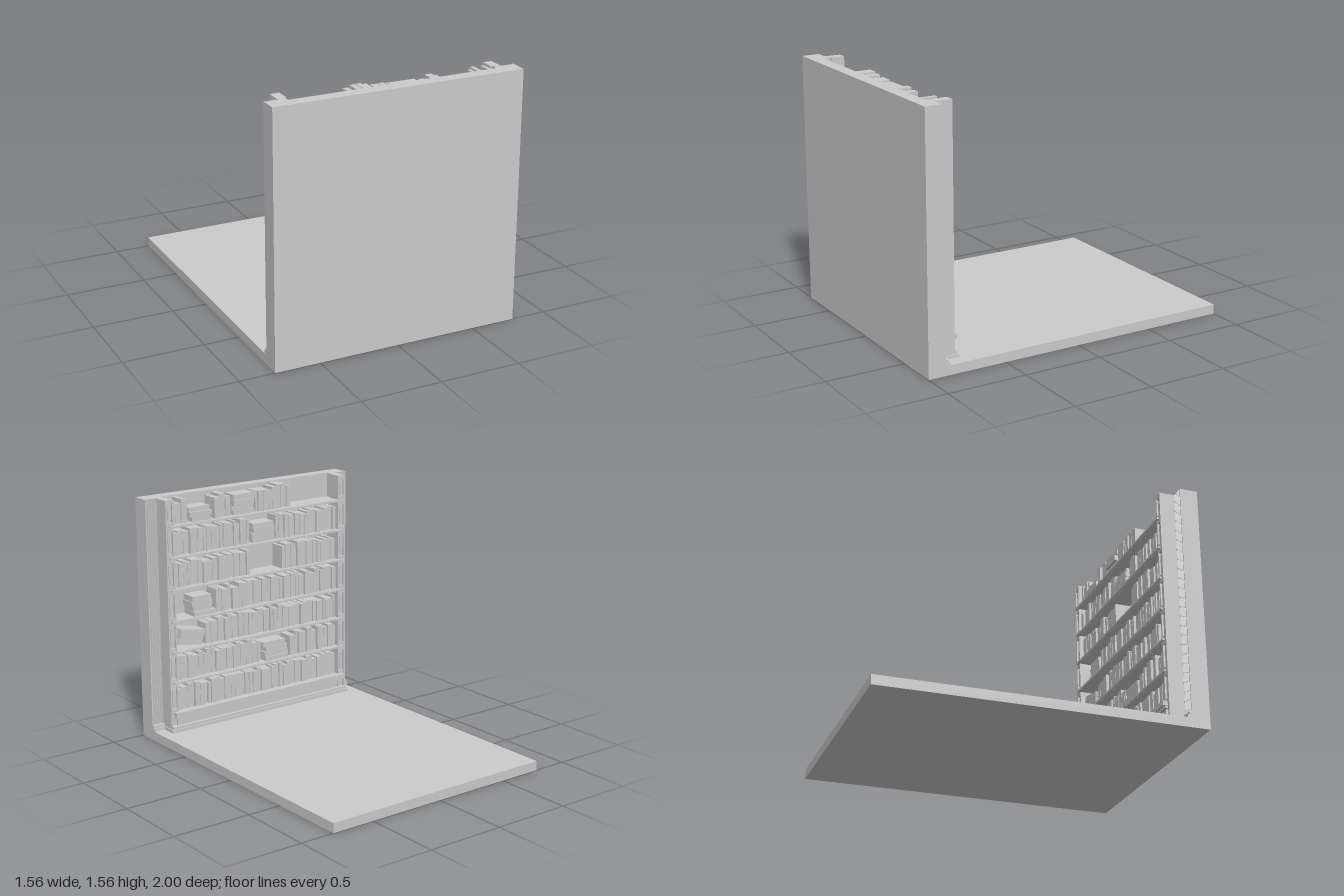
import * as THREE from 'three';

const material = new THREE.MeshStandardMaterial({ color: 0xcccccc, flatShading: true });

// Box given by its lower and upper limits on each axis
function box(parent, name, x0, x1, y0, y1, z0, z1) {
  const mesh = new THREE.Mesh(new THREE.BoxGeometry(x1 - x0, y1 - y0, z1 - z0), material);
  mesh.position.set((x0 + x1) / 2, (y0 + y1) / 2, (z0 + z1) / 2);
  mesh.name = name;
  parent.add(mesh);
  return mesh;
}

// Vertical extrusion of a plan outline given as [x, z] points
function planExtrude(parent, name, points, y0, y1) {
  const shape = new THREE.Shape(points.map(([x, z]) => new THREE.Vector2(x, -z)));
  const geometry = new THREE.ExtrudeGeometry(shape, { depth: y1 - y0, bevelEnabled: false });
  geometry.rotateX(-Math.PI / 2);
  const mesh = new THREE.Mesh(geometry, material);
  mesh.position.y = y0;
  mesh.name = name;
  parent.add(mesh);
}

// Mirror a half outline (x > 0, running outward to inward) into a full one
const mirrored = (half) => [...half, ...half.slice().reverse().map(([x, z]) => [-x, z])];

let seed = 7;
function rand(min, max) {
  seed = (seed * 16807) % 2147483647;
  return min + (max - min) * (seed / 2147483647);
}

// Upright books filling a run of shelf
function uprightBooks(parent, y, x0, x1, maxHeight) {
  let x = x0;
  while (x < x1 - 0.012) {
    let w = rand(0.02, 0.052);
    if (x1 - x - w < 0.018) w = x1 - x;
    const front = rand(0.798, 0.818);
    const h = rand(maxHeight - 0.03, maxHeight);
    box(parent, 'book', x + 0.001, x + w - 0.002, y, y + h, front, 0.912);
    x += w;
  }
}

// Pile of books lying flat
function bookStack(parent, y, x0, x1, count, tilt = 0) {
  const stack = new THREE.Group();
  stack.name = 'bookStack';
  let top = 0;
  const half = (x1 - x0) / 2;
  for (let i = 0; i < count; i++) {
    const h = rand(0.026, 0.036);
    const shift = rand(-0.01, 0.01);
    const w = half - rand(0.008, 0.022);
    box(stack, 'lyingBook', shift - w, shift + w, top, top + h, rand(0.792, 0.812), 0.91);
    top += h;
  }
  stack.position.set((x0 + x1) / 2, y + Math.abs(Math.sin(tilt)) * half, 0);
  stack.rotation.z = tilt;
  parent.add(stack);
}

export function createModel() {
  const model = new THREE.Group();
  model.name = 'bookcaseBookend';

  const W = 0.78, H = 1.56, FLOOR = 0.06;
  box(model, 'baseSlab', -W, W, 0, FLOOR, -1, 1);

  // Upright wall with fluted edges and a recess for the shelves
  const half = [[W, 1], [W, 0.885]];
  const flutes = 6;
  for (let i = 0; i < flutes; i++) {
    const x = 0.775 - i * 0.013;
    half.push([x, 0.885], [x - 0.004, 0.896], [x - 0.009, 0.896], [x - 0.0125, 0.885]);
  }
  half.push([0.69, 0.885], [0.69, 0.87], [0.65, 0.87], [0.65, 0.92]);
  planExtrude(model, 'wall', mirrored(half), FLOOR, H);

  // Shelves with a projecting lip
  const shelves = [0.19, 0.39, 0.59, 0.79, 0.995, 1.2, 1.4];
  shelves.forEach((y) => {
    box(model, 'shelf', -0.652, 0.652, y - 0.016, y, 0.785, 0.925);
    box(model, 'shelfLip', -0.675, 0.675, y - 0.014, y - 0.002, 0.773, 0.788);
  });

  // Side posts with framed panels between the shelf lines
  [-1, 1].forEach((side) => {
    const post = new THREE.Group();
    post.name = side > 0 ? 'leftPost' : 'rightPost';
    const part = (name, a, b, y0, y1, z0, z1) =>
      box(post, name, Math.min(side * a, side * b), Math.max(side * a, side * b), y0, y1, z0, z1);
    part('postCore', 0.65, 0.688, FLOOR, H, 0.8, 0.872);
    part('innerStile', 0.64, 0.65, FLOOR, H, 0.786, 0.872);
    part('outerStile', 0.688, 0.698, FLOOR, H, 0.786, 0.884);
    [...shelves, H + 0.005].forEach((y, i) => {
      part('postRail', 0.65, 0.688, y - 0.035, y + (i < 7 ? 0.02 : -0.005), 0.787, 0.8);
      if (i > 0) {
        const low = shelves[i - 1] + 0.035;
        part('postPanel', 0.658, 0.68, low, y - 0.05, 0.793, 0.8);
      }
    });
    model.add(post);
  });

  // Kick panel, its cap and the stepped plinth that returns along the sides
  box(model, 'kickPanel', -0.65, 0.65, FLOOR, 0.18, 0.79, 0.925);
  box(model, 'kickCap', -0.675, 0.675, 0.162, 0.19, 0.758, 0.79);
  box(model, 'kickCapFillet', -0.67, 0.67, 0.148, 0.162, 0.772, 0.79);
  const plinth = (grow) => mirrored([
    [W, 0.9], [W, 0.875 - grow], [0.69 + grow, 0.875 - grow],
    [0.69 + grow, 0.775 - grow], [0, 0.775 - grow],
  ]).filter((p, i) => i !== 5);
  planExtrude(model, 'plinthLower', plinth(0.014), FLOOR, 0.08);
  planExtrude(model, 'plinthUpper', plinth(0.006), 0.08, 0.096);

  // Books: upright runs [x0, x1] and stacks [x0, x1, count, tilt] for each shelf
  const rows = [
    { runs: [[-0.635, 0.635]], stacks: [] },
    { runs: [[-0.635, -0.25], [-0.02, 0.635]], stacks: [[-0.24, -0.03, 4]] },
    { runs: [[-0.635, 0.41]], stacks: [[0.42, 0.635, 3, 0.16]] },
    { runs: [[-0.635, 0.33]], stacks: [[0.34, 0.52, 4]] },
    { runs: [[-0.635, -0.19], [0.06, 0.635]], stacks: [] },
    { runs: [[-0.635, -0.15], [0.06, 0.635]], stacks: [[-0.14, 0.05, 4]] },
    { runs: [[-0.27, 0.01], [0.2, 0.33], [0.52, 0.638]], stacks: [[0.01, 0.2, 4], [0.34, 0.52, 3]] },
  ];
  rows.forEach(({ runs, stacks }, i) => {
    const row = new THREE.Group();
    row.name = 'bookRow';
    runs.forEach(([a, b]) => uprightBooks(row, shelves[i], a, b, i === 6 ? 0.156 : 0.165));
    stacks.forEach(([a, b, n, tilt]) => bookStack(row, shelves[i], a, b, n, tilt));
    model.add(row);
  });

  return model;
}
